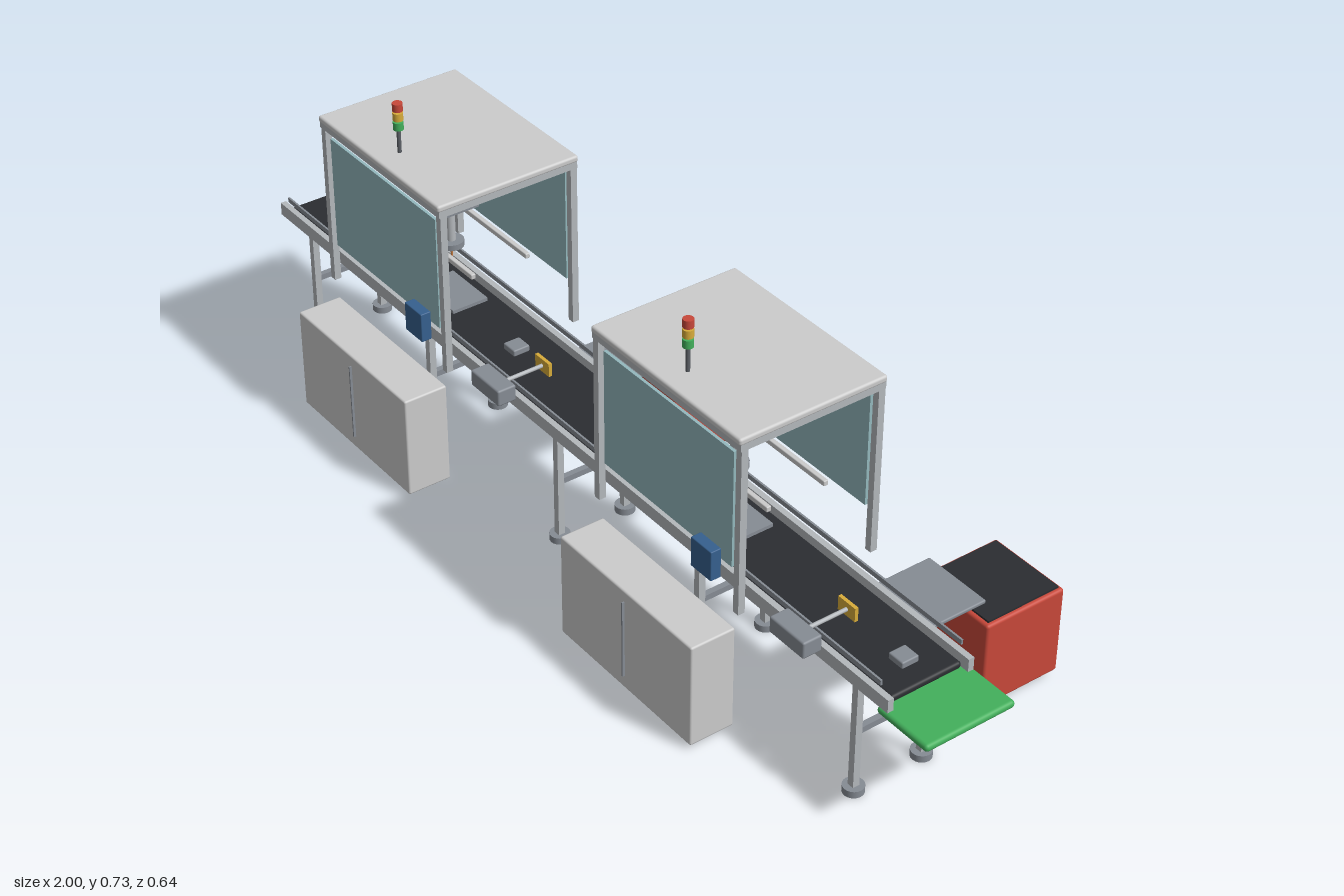
import * as THREE from 'three';
import { RoundedBoxGeometry } from 'three/addons/geometries/RoundedBoxGeometry.js';

const mat = (color) => new THREE.MeshStandardMaterial({ color });
const M = {
  light: mat(0xcccccc), alu: mat(0xb4b8bc), grey: mat(0x868c94), dark: mat(0x2b2d31),
  steel: mat(0x5c6066), glass: mat(0x94b9be), red: mat(0xc8483a), green: mat(0x43b05c),
  yellow: mat(0xd8ac3a), blue: mat(0x36608e), copper: mat(0xc07840),
};

function add(parent, name, geometry, material, x, y, z) {
  const mesh = new THREE.Mesh(geometry, material);
  mesh.name = name;
  mesh.position.set(x, y, z);
  parent.add(mesh);
  return mesh;
}

// Box given by its limits on each axis; r rounds the edges
function box(parent, name, material, [x0, x1], [y0, y1], [z0, z1], r = 0) {
  const s = [x1 - x0, y1 - y0, z1 - z0];
  const g = r ? new RoundedBoxGeometry(...s, 3, r) : new THREE.BoxGeometry(...s);
  return add(parent, name, g, material, (x0 + x1) / 2, (y0 + y1) / 2, (z0 + z1) / 2);
}

// Upright cylinder between two heights
function post(parent, name, material, r, x, [y0, y1], z) {
  return add(parent, name, new THREE.CylinderGeometry(r, r, y1 - y0, 20), material, x, (y0 + y1) / 2, z);
}

function group(parent, name, x = 0) {
  const g = new THREE.Group();
  g.name = name;
  g.position.x = x;
  parent.add(g);
  return g;
}

const MID = 0.079; // centre line of the belt in z
const SIDES = [-1, 1];

function buildConveyor(parent) {
  const g = group(parent, 'conveyor');
  box(g, 'belt', M.dark, [-0.985, 0.89], [0.248, 0.262], [0.004, 0.154], 0.006);
  for (const s of SIDES) {
    const z = MID + s * 0.086;
    box(g, 'sideRail', M.alu, [-1, 0.9], [0.243, 0.27], [z - 0.006, z + 0.006]);
    box(g, 'guideRail', M.grey, [-0.975, 0.875], [0.283, 0.293], [z - 0.002, z + 0.002]);
  }
  // Leg frames
  for (let i = 0; i < 5; i++) {
    const f = group(g, 'legFrame', -0.904 + i * 0.428);
    for (const s of SIDES) {
      const z = MID + s * 0.075;
      box(f, 'leg', M.alu, [-0.007, 0.007], [0.01, 0.245], [z - 0.007, z + 0.007]);
      post(f, 'foot', M.grey, 0.02, 0, [0, 0.014], z);
    }
    box(f, 'crossBar', M.grey, [-0.006, 0.006], [0.128, 0.14], [0.01, 0.148]);
  }
  // Workpieces riding on the belt
  for (const x of [-0.85, -0.755, -0.505, -0.29, 0.085, 0.377, 0.83])
    box(g, 'workpiece', M.grey, [x - 0.018, x + 0.018], [0.262, 0.276], [MID - 0.018, MID + 0.018], 0.003);
  box(g, 'outfeedTray', M.green, [0.875, 1], [0.229, 0.244], [-0.017, 0.174], 0.007);
}

function buildStation(parent, x) {
  const g = group(parent, 'station', x);
  // Enclosure frame, roof and windows
  const zs = [-0.065, 0.222];
  for (const z of zs) {
    for (const s of SIDES)
      box(g, 'framePost', M.alu, [s * 0.198 - 0.007, s * 0.198 + 0.007], [0.265, 0.61], [z - 0.007, z + 0.007]);
    box(g, 'topBeam', M.alu, [-0.205, 0.205], [0.602, 0.616], [z - 0.008, z + 0.009]);
    box(g, 'window', M.glass, [-0.18, 0.18], [0.35, 0.586], [z - 0.003, z + 0.003]);
  }
  for (const s of SIDES)
    box(g, 'sideBeam', M.alu, [s * 0.198 - 0.007, s * 0.198 + 0.007], [0.602, 0.616], [-0.065, 0.222]);
  box(g, 'roof', M.light, [-0.206, 0.206], [0.614, 0.628], [-0.076, 0.234], 0.005);

  // Signal tower
  post(g, 'towerPole', M.steel, 0.004, 0, [0.626, 0.73], 0.183);
  [M.green, M.yellow, M.red].forEach((m, i) =>
    post(g, 'signalLamp', m, 0.01, 0, [0.677 + i * 0.0195, 0.693 + i * 0.0195], 0.183));

  // Work head over the belt, on two rails
  const h = group(g, 'workHead');
  for (const z of [0.018, 0.14])
    box(h, 'gantryRail', M.light, [-0.17, 0.17], [0.42, 0.431], [z - 0.005, z + 0.005], 0.002);
  box(h, 'headBody', M.grey, [-0.04, 0.04], [0.478, 0.57], [0.039, 0.12]);
  post(h, 'collar', M.dark, 0.012, 0, [0.458, 0.478], MID);
  post(h, 'spindle', M.alu, 0.009, 0, [0.4, 0.478], MID);
  post(h, 'toolPlate', M.grey, 0.025, 0, [0.388, 0.4], MID);
  post(h, 'toolTip', M.copper, 0.002, 0, [0.355, 0.388], MID);
  box(g, 'fixturePlate', M.grey, [-0.06, 0.06], [0.276, 0.283], [0.04, 0.119]);

  box(g, 'controlPanel', M.blue, [0.1, 0.156], [0.315, 0.376], [0.228, 0.25], 0.002);

  // Control cabinet
  const c = group(g, 'cabinet');
  box(c, 'cabinetBody', M.light, [-0.19, 0.19], [0.01, 0.225], [0.222, 0.315], 0.004);
  box(c, 'doorSeam', M.grey, [-0.0015, 0.0015], [0.038, 0.202], [0.314, 0.32]);
}

function buildRejector(parent, x) {
  const g = group(parent, 'rejectStation', x);
  // Pusher
  box(g, 'pusherBody', M.grey, [-0.045, 0.045], [0.283, 0.317], [0.188, 0.228], 0.004);
  const rod = post(g, 'pusherRod', M.alu, 0.004, 0, [0.2535, 0.3435], 0.145);
  rod.rotation.x = Math.PI / 2;
  box(g, 'pusherHead', M.yellow, [-0.022, 0.022], [0.285, 0.313], [0.093, 0.1]);
  // Chute and bin behind the belt
  box(g, 'chute', M.grey, [-0.073, 0.073], [0.239, 0.247], [-0.148, -0.01], 0.003);
  box(g, 'bin', M.red, [-0.088, 0.088], [0.018, 0.2], [-0.319, -0.142], 0.006);
  box(g, 'binOpening', M.dark, [-0.08, 0.08], [0.198, 0.204], [-0.311, -0.15]);
}

export function createModel() {
  const model = new THREE.Group();
  model.name = 'assemblyLine';
  buildConveyor(model);
  for (const x of [-0.505, 0.377]) {
    buildStation(model, x);
    buildRejector(model, x + 0.33);
  }
  return model;
}
